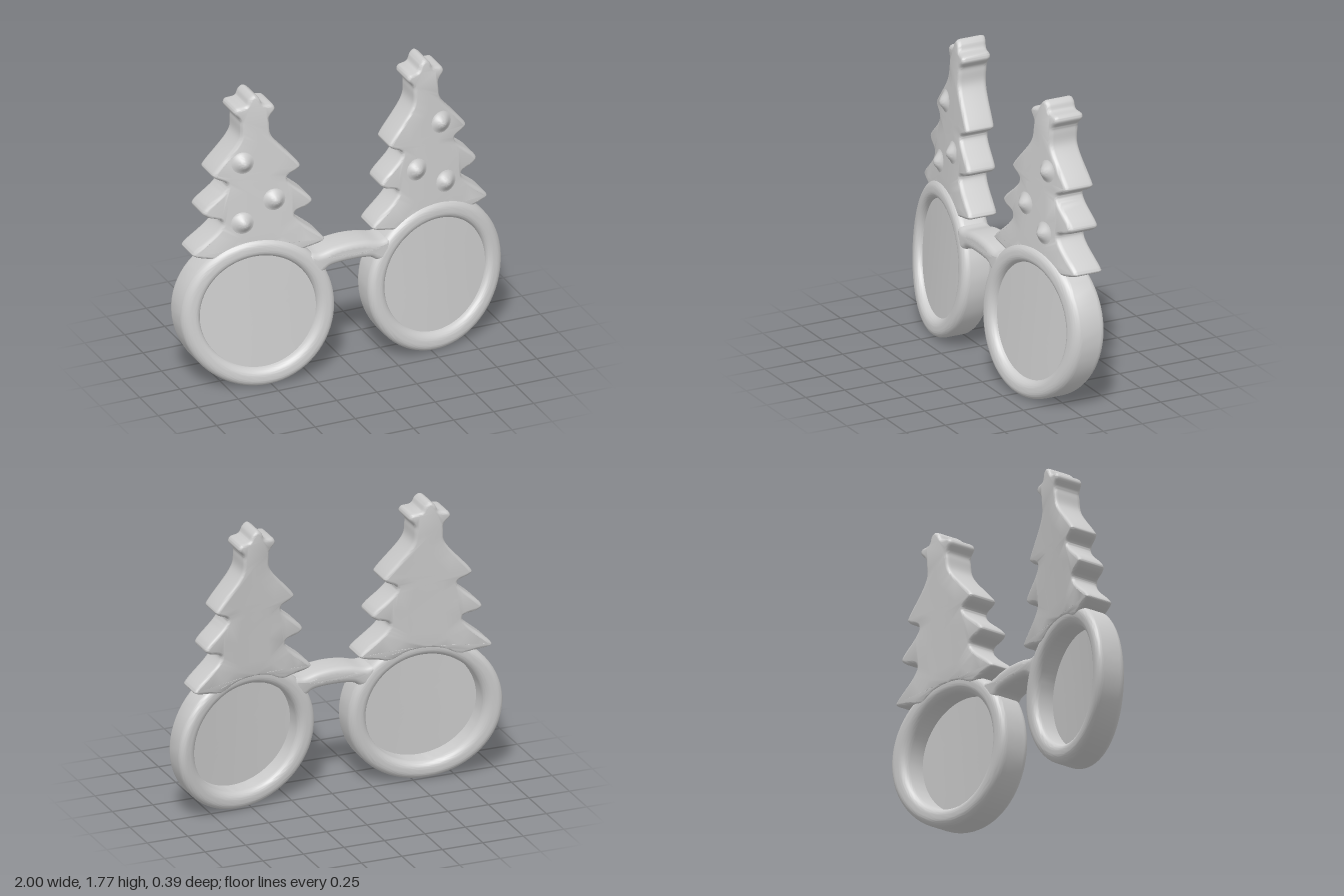
import * as THREE from 'three';
import { toCreasedNormals } from 'three/addons/utils/BufferGeometryUtils.js';

const material = new THREE.MeshStandardMaterial({ color: 0xcccccc });
const RIM = { x: 0.552, y: 0.452, outer: 0.448, inner: 0.34 };
const TREE_X = 0.534;

// front surface of the whole frame: wraps back at the sides, leans back at the top
const frontZ = (x, y) => 0.225 - 0.14 * x * x - 0.09 * y;

// split long edges so flat faces can follow the bend
function subdivide(geo, limit) {
  const src = (geo.index ? geo.toNonIndexed() : geo).attributes.position;
  const out = [];
  const split = (t) => {
    const len = [0, 1, 2].map((i) => t[i].distanceTo(t[(i + 1) % 3]));
    const i = len.indexOf(Math.max(...len));
    if (len[i] <= limit) {
      t.forEach((v) => out.push(v.x, v.y, v.z));
      return;
    }
    const a = t[i], b = t[(i + 1) % 3], c = t[(i + 2) % 3];
    const m = a.clone().add(b).multiplyScalar(0.5);
    split([a, m, c]);
    split([m, b, c]);
  };
  for (let i = 0; i < src.count; i += 3) {
    split([0, 1, 2].map((k) => new THREE.Vector3().fromBufferAttribute(src, i + k)));
  }
  return new THREE.BufferGeometry().setAttribute('position', new THREE.Float32BufferAttribute(out, 3));
}

// bend a flat part (its z = 0 is the front surface) and smooth it
function bentPart(name, flat) {
  const geo = subdivide(flat, 0.16);
  const p = geo.attributes.position;
  for (let i = 0; i < p.count; i++) {
    p.setZ(i, p.getZ(i) + frontZ(p.getX(i), p.getY(i)));
  }
  const mesh = new THREE.Mesh(toCreasedNormals(geo, 0.75), material);
  mesh.name = name;
  return mesh;
}

// rounded slab from a closed smooth outline, between two depths
function slab(points, samples, front, back, inset, round) {
  const curve = new THREE.CatmullRomCurve3(
    points.map(([x, y]) => new THREE.Vector3(x, y, 0)), true, 'centripetal');
  const outline = curve.getPoints(samples).slice(0, -1).map((v) => new THREE.Vector2(v.x, v.y));
  const geo = new THREE.ExtrudeGeometry(new THREE.Shape(outline), {
    depth: front - back - 2 * round, steps: 1, bevelEnabled: true,
    bevelSize: inset, bevelOffset: -inset, bevelThickness: round, bevelSegments: 4,
  });
  return geo.translate(0, 0, back + round);
}

// right half of the tree with its star, as [distance from trunk line, height]
const HALF_TREE = [
  [0.03, 1.752], [0.05, 1.715], [0.108, 1.702], [0.12, 1.675], [0.085, 1.628],
  [0.084, 1.59], [0.088, 1.53], [0.115, 1.48], [0.245, 1.33], [0.256, 1.308],
  [0.236, 1.286], [0.18, 1.258], [0.176, 1.238], [0.2, 1.203], [0.31, 1.105],
  [0.319, 1.082], [0.29, 1.056], [0.218, 1.033], [0.212, 1.012], [0.24, 0.97],
  [0.375, 0.853], [0.384, 0.834], [0.36, 0.819], [0.27, 0.8], [0.2, 0.787], [0.1, 0.83],
];

function treeGeometry() {
  const mirrored = HALF_TREE.map(([x, y]) => [-x, y]).reverse();
  const points = [[0, 1.772], ...HALF_TREE, [0, 0.842], ...mirrored];
  return slab(points, 260, -0.02, -0.205, 0.018, 0.028);
}

function rimGeometry() {
  // rounded rectangle cross-section turned around the lens axis
  const r = 0.046, depth = 0.2, s = new THREE.Shape();
  s.absarc(RIM.inner + r, -depth + r, r, Math.PI, 1.5 * Math.PI);
  s.absarc(RIM.outer - r, -depth + r, r, 1.5 * Math.PI, 2 * Math.PI);
  s.absarc(RIM.outer - r, -r, r, 0, 0.5 * Math.PI);
  s.absarc(RIM.inner + r, -r, r, 0.5 * Math.PI, Math.PI);
  const profile = s.getPoints(6);
  profile.push(profile[0].clone());
  return new THREE.LatheGeometry(profile, 72).rotateX(Math.PI / 2);
}

function baubleGeometry() {
  // soft bell-shaped bump
  const profile = [];
  for (let i = 0; i <= 10; i++) {
    const t = 1 - i / 10;
    profile.push(new THREE.Vector2(0.075 * t, 0.021 * (1 + Math.cos(Math.PI * t)) - 0.002));
  }
  return new THREE.LatheGeometry(profile, 24).rotateX(Math.PI / 2);
}

export function createModel() {
  const model = new THREE.Group();
  model.name = 'treeGlasses';

  for (const [side, s] of [['left', 1], ['right', -1]]) {
    const half = new THREE.Group();
    half.name = side + 'Half';
    half.add(bentPart('rim', rimGeometry().translate(s * RIM.x, RIM.y, 0)));

    // lens set just behind the front of the rim
    const lens = new THREE.CylinderGeometry(0.352, 0.352, 0.02, 64).rotateX(Math.PI / 2);
    half.add(bentPart('lens', lens.translate(s * RIM.x, RIM.y + 0.005, -0.055)));

    half.add(bentPart('tree', treeGeometry().translate(s * TREE_X, 0, 0)));
    for (const [x, y] of [[0.62, 1.375], [0.445, 1.13], [0.635, 1.01]]) {
      half.add(bentPart('bauble', baubleGeometry().translate(s * x, y, -0.02)));
    }
    model.add(half);
  }

  // arched nose bridge, flared where it meets the rims
  const arch = [[0.1, 0.777], [0.19, 0.757], [0.25, 0.76], [0.26, 0.7], [0.23, 0.62],
    [0.165, 0.645], [0.13, 0.668], [0.07, 0.678]];
  const bridge = [[0, 0.785], ...arch, [0, 0.68], ...arch.map(([x, y]) => [-x, y]).reverse()];
  model.add(bentPart('bridge', slab(bridge, 100, -0.002, -0.195, 0.035, 0.035)));
  return model;
}
